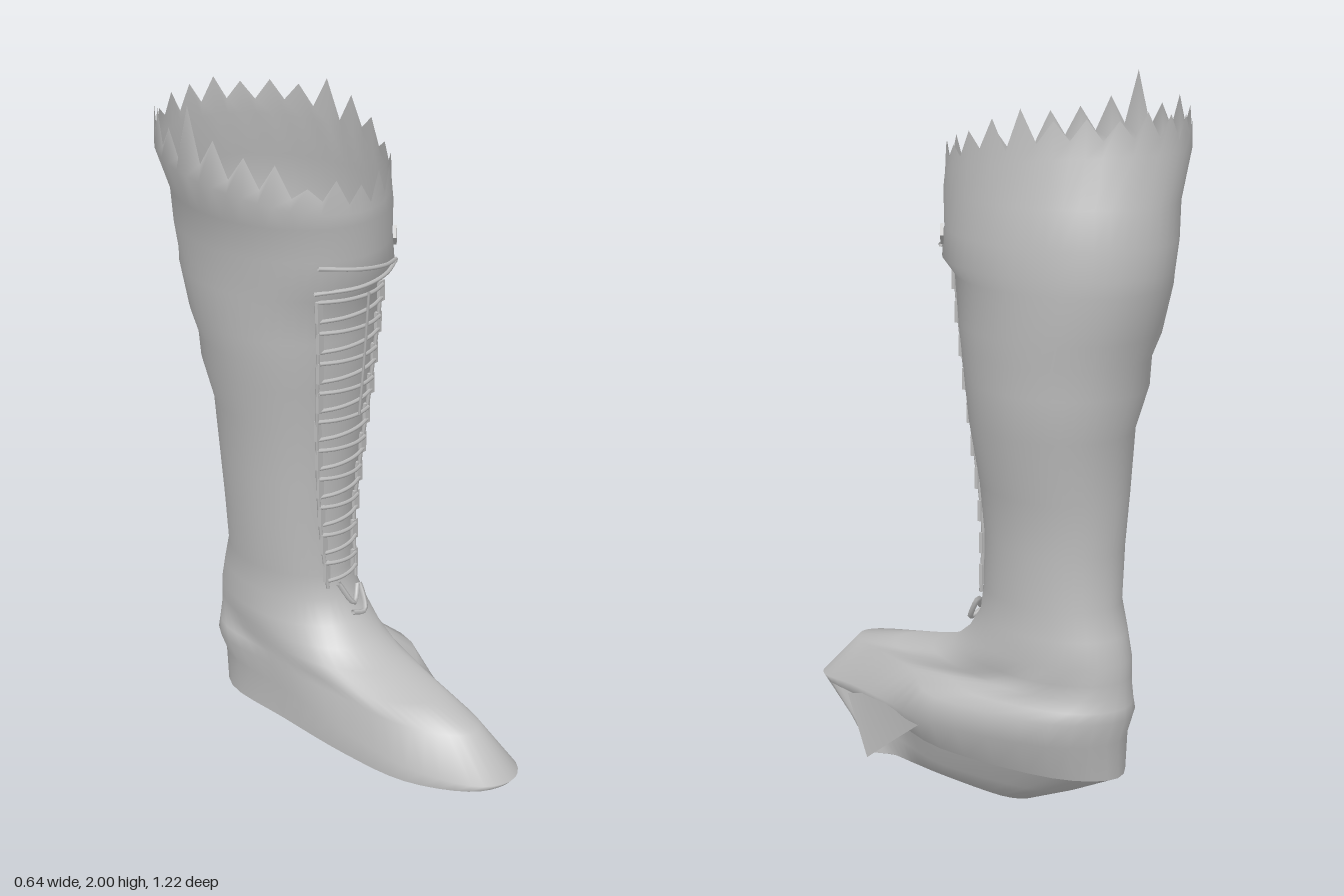
import * as THREE from 'three';

const N = 48; // samples around each cross-section
const SKEW = 0.17; // the shaft is slightly turned towards the outer back
const leather = new THREE.MeshStandardMaterial({ color: 0xbfbfbf, side: THREE.DoubleSide });
leather.name = 'grey leather';

// Shaft cross-sections: y, min x, max x, back z, front z
const SHAFT = [
  [0.45, -0.125, 0.23, -0.512, 0.02], [0.52, -0.115, 0.22, -0.497, -0.025],
  [0.6, -0.122, 0.215, -0.472, -0.035], [0.75, -0.142, 0.22, -0.472, -0.035],
  [0.9, -0.155, 0.235, -0.485, -0.02], [1.08, -0.18, 0.283, -0.5, 0.0],
  [1.2, -0.205, 0.294, -0.537, 0.02], [1.28, -0.217, 0.3, -0.54, 0.03], [1.35, -0.23, 0.31, -0.57, 0.04],
  [1.48, -0.245, 0.318, -0.6, 0.055], [1.52, -0.25, 0.32, -0.605, 0.1],
  [1.6, -0.262, 0.32, -0.612, 0.095], [1.7, -0.282, 0.305, -0.605, 0.11],
];
// Foot outlines (x, z) from the toe, round the model's left side to the heel and back
const FOOT = [[-0.055, 0.61], [0.03, 0.57], [0.08, 0.43], [0.16, 0.25], [0.275, 0.0], [0.24, -0.36],
  [0.1, -0.505], [-0.06, -0.41], [-0.125, -0.15], [-0.185, 0.13], [-0.207, 0.36], [-0.15, 0.545]];
const INSTEP = [[-0.07, 0.5], [0.0, 0.45], [0.05, 0.32], [0.12, 0.17], [0.255, 0.0], [0.245, -0.375],
  [0.1, -0.525], [-0.08, -0.425], [-0.125, -0.19], [-0.15, 0.07], [-0.17, 0.3], [-0.13, 0.45]];

const hash = (i) => { const s = Math.sin(i * 12.9898) * 43758.5453; return s - Math.floor(s); };

function ellipse([, x0, x1, z0, z1], skew = SKEW) {
  return FOOT.map((_, i) => {
    const a = (i / 12) * Math.PI * 2;
    return [(x0 + x1) / 2 + ((x1 - x0) / 2) * Math.sin(a - skew), (z0 + z1) / 2 + ((z1 - z0) / 2) * Math.cos(a)];
  });
}

// Smooth closed ring through 12 outline points
function ring(outline, yAt) {
  const curve = new THREE.CatmullRomCurve3(
    outline.map(([x, z]) => new THREE.Vector3(x, yAt(x, z), z)), true, 'catmullrom', 0.5);
  return Array.from({ length: N }, (_, i) => curve.getPoint(i / N));
}

// Skin a list of rings
function loft(rings) {
  const index = [];
  for (let r = 0; r < rings.length - 1; r++) {
    for (let i = 0; i < N; i++) {
      const a = r * N + i, b = r * N + ((i + 1) % N);
      index.push(a, b, b + N, a, b + N, a + N);
    }
  }
  const geo = new THREE.BufferGeometry().setFromPoints(rings.flat());
  geo.setIndex(index);
  geo.computeVertexNormals();
  return geo;
}

// Point just outside the front of the shaft
function onFront(x, y, lift = 0.012) {
  let k = 0;
  while (k < SHAFT.length - 2 && SHAFT[k + 1][0] < y) k++;
  const t = (y - SHAFT[k][0]) / (SHAFT[k + 1][0] - SHAFT[k][0]);
  const [, x0, x1, z0, z1] = SHAFT[k].map((v, j) => THREE.MathUtils.lerp(v, SHAFT[k + 1][j], t));
  const u = THREE.MathUtils.clamp((x - (x0 + x1) / 2) / ((x1 - x0) / 2), -1, 1);
  return new THREE.Vector3(x, y, (z0 + z1) / 2 + ((z1 - z0) / 2) * Math.cos(Math.asin(u) + SKEW) + lift);
}

export function createModel() {
  const model = new THREE.Group();
  model.name = 'boot';
  const add = (name, geo, parent = model) => {
    const mesh = new THREE.Mesh(geo, leather);
    mesh.name = name;
    parent.add(mesh);
    return mesh;
  };

  // Foot and shaft in one skin, ending in a torn rim
  const soleY = (x, z) => 0.132 + 0.04 * z;
  const soleEdge = FOOT.map(([x, z]) => [x > 0 ? x * 0.82 : x, z * 0.98]);
  const ankle = ellipse(SHAFT[0]);
  const blend = (t) => INSTEP.map(([x, z], i) => [x + (ankle[i][0] - x) * t, z + (ankle[i][1] - z) * t]);
  const rings = [ring(soleEdge, soleY), ring(FOOT, (x, z) => 0.225 - 0.09 * Math.max(0, z))];
  for (const [y, t] of [[0.295, 0], [0.325, 0.35], [0.36, 0.69], [0.4, 0.87]]) rings.push(ring(blend(t), () => y));
  for (const row of SHAFT) rings.push(ring(ellipse(row), () => row[0]));

  const frontness = (i) => Math.pow((Math.cos((i / N) * Math.PI * 2) + 1) / 2, 2);
  const rim = ring(ellipse([0, -0.325, 0.285, -0.6, 0.105], 0.08), () => 0);
  const base = rim.map((p, i) => new THREE.Vector3(p.x, 1.83 - 0.1 * frontness(i), p.z));
  const torn = rim.map((p, i) => {
    const f = frontness(i);
    const tooth = i % 2 ? (0.04 + 0.075 * hash(i)) * (1 - 0.3 * f) : 0.02 * hash(i);
    return new THREE.Vector3(p.x * 0.97, 1.86 - 0.11 * f + tooth, p.z);
  });
  torn[35].y = 2;
  add('upper', loft([...rings, base, torn]));

  // Sole: a thin toe and inner edge dropping to a low keel under the outer side
  const keel = FOOT.map(([x, z]) => [0.125 + (x - 0.06) * 0.22, 0.05 + (z - 0.05) * 0.52]);
  const middle = soleEdge.map(([x, z], i) => [(x + keel[i][0]) / 2, (z + keel[i][1]) / 2]);
  const centre = FOOT.map(([, z]) => [0.12, 0.05 + (z - 0.05) * 0.4]);
  add('sole', loft([
    ring(centre, () => 0.02),
    ring(keel, (x, z) => (Math.abs(z - 0.05) > 0.2 ? 0.008 : 0.025)),
    ring(middle, (x, z) => (x < 0.06 && z > -0.2 ? 0.108 : 0.07) + 0.04 * z),
    ring(soleEdge, soleY),
  ]));

  // Loose flap of sole on the outer side
  const flap = [[0.07, 0.15, 0.45], [0.1, 0.18, 0.36], [0.15, 0.004, 0.32], [0.19, 0.11, 0.18], [0.26, 0.22, 0.03]];
  const flapGeo = new THREE.BufferGeometry().setFromPoints(flap.map((p) => new THREE.Vector3(...p)));
  flapGeo.setIndex([0, 2, 1, 1, 2, 3, 1, 3, 4]);
  flapGeo.computeVertexNormals();
  add('torn flap', flapGeo);

  // Lacing: paired rungs between two rows of eyelet tabs
  const lacing = new THREE.Group();
  lacing.name = 'lacing';
  model.add(lacing);
  const cord = (name, points, r = 0.006) => add(name,
    new THREE.TubeGeometry(new THREE.CatmullRomCurve3(points), points.length * 4, r, 5), lacing);
  const leftX = (y) => 0.07 + 0.02 * (y - 0.6);
  const rightX = (y) => -0.05 - 0.12 * (y - 0.6);
  const across = (ya, yb) => [0, 0.25, 0.5, 0.75, 1].map((t) => {
    const y = ya + (yb - ya) * t;
    return onFront(rightX(y) + (leftX(y) - rightX(y)) * t, y, 0.014);
  });
  for (let k = 0; k < 10; k++) {
    const y = 0.585 + k * 0.093;
    cord('lace', across(y, y + 0.01));
    cord('lace', across(y + 0.058, y + 0.048));
    for (const edge of [leftX, rightX]) {
      const tab = add('eyelet tab', new THREE.BoxGeometry(0.022, 0.06, 0.01), lacing);
      tab.position.copy(onFront(edge(y), y + 0.029, 0.01));
    }
  }
  for (const edge of [leftX, rightX]) {
    cord('placket edge', [0.56, 0.75, 0.95, 1.15, 1.35, 1.47].map((y) => onFront(edge(y), y, 0.009)), 0.006);
  }

  // Top laces, loose end, lower knot and side tag
  for (const [y, slope] of [[1.56, -0.15], [1.53, 0.1]]) {
    cord('top lace', [-0.18, -0.08, 0.02, 0.11].map((x) => onFront(x, y + slope * x, 0.01)));
  }
  cord('loose lace end', [new THREE.Vector3(-0.05, 1.5, 0.105), new THREE.Vector3(-0.03, 1.3, 0.075),
    new THREE.Vector3(-0.02, 1.12, 0.05)], 0.004);
  cord('knot', [[-0.02, 0.57], [0.02, 0.5], [0.07, 0.54], [0.05, 0.47], [0, 0.48]].map(([x, y]) => onFront(x, y, 0.015)), 0.008);
  const tag = add('lace tag', new THREE.BoxGeometry(0.04, 0.04, 0.009), lacing);
  tag.position.copy(onFront(0.17, 1.585, 0.008));
  tag.rotation.set(0, 0.6, 0.75);

  return model;
}
